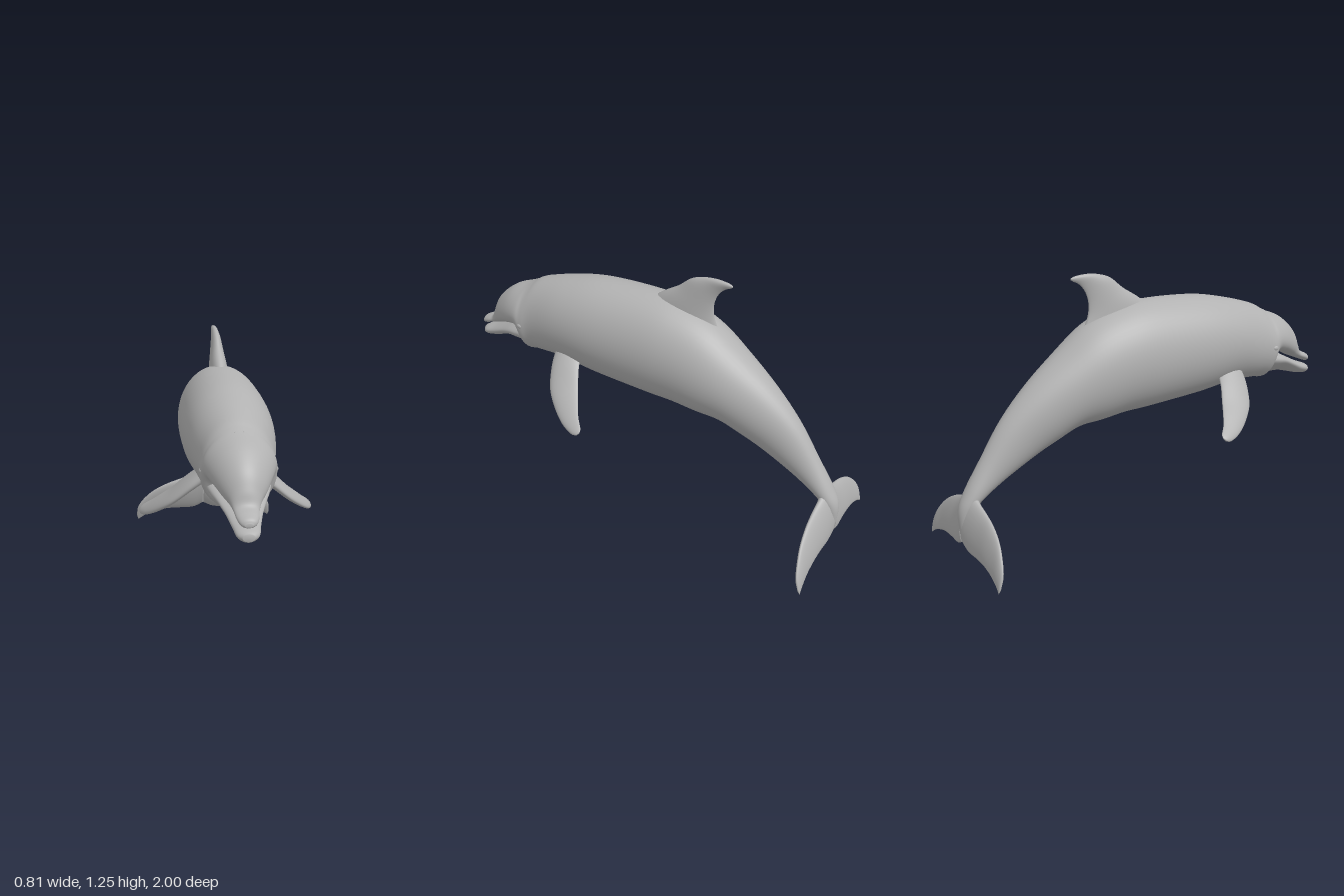
import * as THREE from 'three';

const V = (x, y, z) => new THREE.Vector3(x, y, z);
const skin = new THREE.MeshStandardMaterial({ color: 0xb2b2b2 });
skin.name = 'grey skin';

// Smooth closed loft. Each row is { a, b, w, k }: the two ends of a section,
// its half width, and a skew that moves the widest point between b and a.
function loft(rows, normalAt, steps = 5, sides = 36) {
  const path = f => new THREE.CatmullRomCurve3(rows.map(f), false, 'catmullrom', 0.5);
  const pa = path(r => r.a), pb = path(r => r.b), pw = path(r => V(r.w, r.k, 0));
  const count = (rows.length - 1) * steps, pos = [], idx = [];
  for (let i = 0; i <= count; i++) {
    const t = i / count, a = pa.getPoint(t), b = pb.getPoint(t), s = pw.getPoint(t);
    const n = normalAt(a, b);
    for (let j = 0; j < sides; j++) {
      const ang = j / sides * Math.PI * 2;
      const h = Math.pow(Math.max(0, (1 + Math.cos(ang)) / 2), s.y);
      const p = b.clone().lerp(a, h).addScaledVector(n, s.x * Math.sin(ang));
      pos.push(p.x, p.y, p.z);
    }
  }
  for (let i = 0; i < count; i++) {
    for (let j = 0; j < sides; j++) {
      const p = i * sides + j, q = i * sides + (j + 1) % sides;
      idx.push(p, q, p + sides, q, q + sides, p + sides);
    }
  }
  // end caps
  const last = count * sides;
  for (const [start, t] of [[0, 0], [last, 1]]) {
    const c = pa.getPoint(t).lerp(pb.getPoint(t), 0.5), ci = pos.length / 3;
    pos.push(c.x, c.y, c.z);
    for (let j = 0; j < sides; j++) {
      const p = start + j, q = start + (j + 1) % sides;
      if (t === 0) idx.push(ci, q, p); else idx.push(ci, p, q);
    }
  }
  // turn the faces outward if the enclosed volume is negative
  const at = i => V(pos[i * 3], pos[i * 3 + 1], pos[i * 3 + 2]);
  let volume = 0;
  for (let i = 0; i < idx.length; i += 3) volume += at(idx[i]).dot(at(idx[i + 1]).cross(at(idx[i + 2])));
  if (volume < 0) idx.reverse();
  const g = new THREE.BufferGeometry();
  g.setAttribute('position', new THREE.Float32BufferAttribute(pos, 3));
  g.setIndex(idx);
  g.computeVertexNormals();
  return g;
}

// Body rows: [top z, top y, bottom z, bottom y, half width, skew]
const trunk = rows => loft(
  rows.map(([tz, ty, bz, by, w, k]) => ({ a: V(0, ty, tz), b: V(0, by, bz), w, k })),
  () => V(1, 0, 0), 6, 48);

// Fin rows: [leading x, y, z, trailing x, y, z, half thickness]
function fin(rows, side = 1) {
  const r = rows.map(([x, y, z, X, Y, Z, w]) =>
    ({ a: V(x * side, y, z), b: V(X * side, Y, Z), w, k: 0.75 }));
  const mid = s => s.a.clone().lerp(s.b, 0.5);
  const span = mid(r[r.length - 1]).sub(mid(r[0])).normalize();
  return loft(r, (a, b) => a.clone().sub(b).cross(span).normalize());
}

// trunk, melon and upper jaw, from the tail forward
const bodyRows = [
  [-0.992, 0.12, -0.97, 0.12, 0.015, 1], [-0.997, 0.24, -0.93, 0.22, 0.04, 1],
  [-0.96, 0.33, -0.89, 0.275, 0.053, 1], [-0.875, 0.47, -0.77, 0.355, 0.062, 1],
  [-0.77, 0.63, -0.61, 0.445, 0.087, 1], [-0.635, 0.775, -0.5, 0.5, 0.12, 1],
  [-0.475, 0.91, -0.4, 0.545, 0.153, 1], [-0.33, 1.02, -0.28, 0.558, 0.18, 1],
  [-0.18, 1.08, -0.16, 0.576, 0.196, 1], [-0.02, 1.105, -0.02, 0.585, 0.205, 1],
  [0.25, 1.1, 0.25, 0.61, 0.207, 1], [0.435, 1.07, 0.45, 0.638, 0.192, 1],
  [0.6, 1.025, 0.6, 0.642, 0.166, 1.1], [0.66, 0.995, 0.66, 0.645, 0.164, 1.15],
  [0.7, 0.975, 0.7, 0.76, 0.156, 1.5], [0.785, 0.94, 0.76, 0.762, 0.132, 1.6],
  [0.865, 0.873, 0.83, 0.737, 0.097, 1.6], [0.905, 0.8, 0.87, 0.716, 0.068, 1.4],
  [0.925, 0.745, 0.91, 0.7, 0.053, 1.1], [0.96, 0.725, 0.955, 0.682, 0.046, 1],
  [0.99, 0.71, 0.985, 0.672, 0.035, 1], [1, 0.692, 1, 0.676, 0.016, 1],
];

const jawRows = [
  [0.58, 0.79, 0.58, 0.65, 0.12, 0.55], [0.66, 0.785, 0.66, 0.642, 0.137, 0.5],
  [0.72, 0.768, 0.72, 0.642, 0.125, 0.5], [0.78, 0.745, 0.8, 0.643, 0.102, 0.5],
  [0.85, 0.712, 0.86, 0.63, 0.077, 0.55], [0.92, 0.68, 0.93, 0.612, 0.058, 0.7],
  [0.975, 0.66, 0.975, 0.607, 0.047, 0.8], [0.998, 0.648, 1, 0.617, 0.024, 1],
];

const dorsalRows = [
  [0, 1.03, 0.05, 0, 0.97, -0.36, 0.05], [0, 1.11, -0.04, 0, 1.05, -0.325, 0.042],
  [0, 1.17, -0.135, 0, 1.11, -0.318, 0.032], [0, 1.222, -0.2, 0, 1.155, -0.328, 0.024],
  [0, 1.243, -0.26, 0, 1.185, -0.345, 0.018], [0, 1.25, -0.32, 0, 1.208, -0.368, 0.014],
  [0, 1.245, -0.38, 0, 1.22, -0.393, 0.009], [0, 1.236, -0.406, 0, 1.228, -0.406, 0.003],
];

const flipperRows = [
  [0.12, 0.72, 0.47, 0.12, 0.73, 0.33, 0.032], [0.19, 0.66, 0.455, 0.19, 0.675, 0.3, 0.025],
  [0.27, 0.585, 0.415, 0.25, 0.615, 0.265, 0.021], [0.33, 0.53, 0.35, 0.3, 0.573, 0.235, 0.018],
  [0.375, 0.49, 0.28, 0.345, 0.535, 0.205, 0.014], [0.4, 0.47, 0.215, 0.38, 0.505, 0.172, 0.011],
  [0.405, 0.475, 0.182, 0.397, 0.49, 0.167, 0.004],
];

const flukeRows = [
  [0, 0.34, -0.925, 0, 0.095, -0.985, 0.034], [0.06, 0.297, -0.925, 0.06, 0.07, -0.983, 0.028],
  [0.13, 0.267, -0.922, 0.14, 0.068, -0.98, 0.023], [0.21, 0.238, -0.925, 0.22, 0.065, -0.98, 0.019],
  [0.29, 0.195, -0.935, 0.29, 0.048, -0.98, 0.015], [0.35, 0.14, -0.95, 0.34, 0.03, -0.983, 0.012],
  [0.385, 0.085, -0.963, 0.37, 0.012, -0.985, 0.008], [0.392, 0.03, -0.978, 0.384, 0.002, -0.987, 0.003],
];

export function createModel() {
  const model = new THREE.Group();
  model.name = 'dolphin';
  const add = (name, geometry) => {
    const mesh = new THREE.Mesh(geometry, skin);
    mesh.name = name;
    model.add(mesh);
    return mesh;
  };

  add('body', trunk(bodyRows));
  add('lowerJaw', trunk(jawRows));
  add('dorsalFin', fin(dorsalRows));

  // paired parts
  for (const [side, label] of [[1, 'left'], [-1, 'right']]) {
    add(label + 'Flipper', fin(flipperRows, side));
    add(label + 'Fluke', fin(flukeRows, side));
    const eye = add(label + 'Eye', new THREE.SphereGeometry(0.016, 16, 12));
    eye.scale.set(0.5, 0.75, 1);
    eye.position.set(side * 0.16, 0.81, 0.66);
  }

  // crescent on the crown
  const blowhole = add('blowhole', new THREE.TorusGeometry(0.018, 0.004, 8, 20, Math.PI));
  blowhole.rotation.x = -Math.PI / 2 + 0.35;
  blowhole.position.set(0, 0.976, 0.69);
  return model;
}
